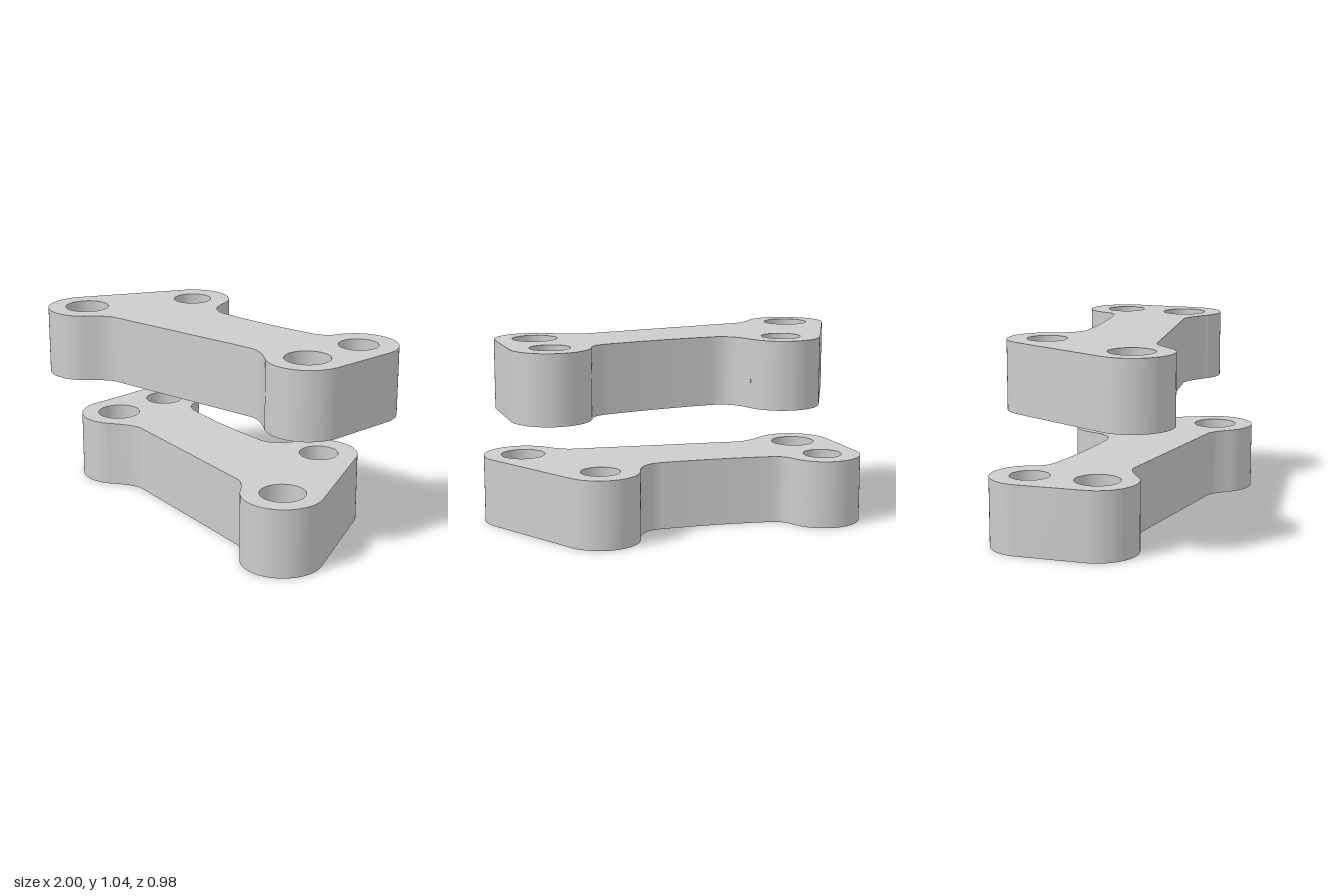
import * as THREE from 'three';
import { toCreasedNormals } from 'three/addons/utils/BufferGeometryUtils.js';

const H = 0.37;          // plate thickness
const BORE_DEPTH = 0.09; // counterbore depth
const SEG = 24;
const CREASE = 0.6;
const deg = Math.PI / 180;

// Holes: x, y in the plate plane (y points to the back), radius, counterbore radius
const HOLES = [
  [-0.785, -0.272, 0.12, 0.138],
  [0.757, -0.082, 0.12, 0.138],
  [0.772, 0.28, 0.105, 0.105],
  [-0.51, 0.28, 0.105, 0.105],
];

// Four rounded lobes joined by a waisted web, counter-clockwise
function outline() {
  const s = new THREE.Shape();
  s.absarc(-0.785, -0.275, 0.215, 153.6 * deg, 319 * deg, false);
  s.quadraticCurveTo(-0.545, -0.317, -0.49, -0.309);
  s.lineTo(0.45, -0.173);
  s.quadraticCurveTo(0.51, -0.166, 0.635, -0.258);
  s.absarc(0.757, -0.082, 0.215, 236 * deg, 357 * deg, false);
  s.absarc(0.77, 0.28, 0.21, -3 * deg, 165 * deg, false);
  s.quadraticCurveTo(0.545, 0.27, 0.46, 0.255);
  s.quadraticCurveTo(0.18, 0.2, -0.13, 0.19);
  s.quadraticCurveTo(-0.265, 0.18, -0.31, 0.345);
  s.absarc(-0.51, 0.28, 0.21, 18 * deg, 153.6 * deg, false);
  return s;
}

// Flat face with the holes cut out; wide uses the counterbore radius
function capGeometry(y, wide, faceDown) {
  const s = outline();
  for (const [x, z, r, bore] of HOLES) {
    const p = new THREE.Path();
    p.absarc(x, z, wide ? bore : r, 0, Math.PI * 2, true);
    s.holes.push(p);
  }
  const g = new THREE.ShapeGeometry(s, SEG);
  if (faceDown) g.index.array.reverse();
  g.rotateX(-Math.PI / 2).translate(0, y, 0);
  return toCreasedNormals(g, CREASE);
}

// Vertical strip that follows the outline
function wallGeometry() {
  const pts = outline().getPoints(SEG);
  const pos = [], idx = [];
  pts.forEach((p, i) => {
    pos.push(p.x, 0, -p.y, p.x, H, -p.y);
    const a = 2 * i, b = 2 * ((i + 1) % pts.length);
    idx.push(a, b, b + 1, a, b + 1, a + 1);
  });
  const g = new THREE.BufferGeometry();
  g.setAttribute('position', new THREE.Float32BufferAttribute(pos, 3));
  g.setIndex(idx);
  return toCreasedNormals(g, CREASE);
}

// Inner surface of a hole, stepped where it is counterbored
function holeGeometry([x, y, r, bore], boreOnTop) {
  let profile = [[r, H], [r, 0]];
  if (bore > r) {
    profile = boreOnTop
      ? [[bore, H], [bore, H - BORE_DEPTH], [r, H - BORE_DEPTH], [r, 0]]
      : [[r, H], [r, BORE_DEPTH], [bore, BORE_DEPTH], [bore, 0]];
  }
  const g = new THREE.LatheGeometry(profile.map(p => new THREE.Vector2(...p)), SEG * 2);
  g.translate(x, 0, -y);
  return toCreasedNormals(g, CREASE);
}

function makePlate(name, boreOnTop, material) {
  const plate = new THREE.Group();
  plate.name = name;
  const add = (part, g) => {
    const m = new THREE.Mesh(g, material);
    m.name = part;
    plate.add(m);
  };
  add('outerWall', wallGeometry());
  add('topFace', capGeometry(H, boreOnTop, false));
  add('bottomFace', capGeometry(0, !boreOnTop, true));
  HOLES.forEach((h, i) => add(`boltHole${i + 1}`, holeGeometry(h, boreOnTop)));
  return plate;
}

export function createModel() {
  const metal = new THREE.MeshStandardMaterial({ color: 0xcccccc });
  metal.name = 'light grey metal';
  const model = new THREE.Group();
  model.name = 'bracketPair';

  const upper = makePlate('upperBracket', false, metal);
  upper.position.y = 0.667;

  // Opposite-hand bracket: turned over, so its counterbores also end up below
  const lower = makePlate('lowerBracket', true, metal);
  lower.rotation.z = Math.PI;
  lower.position.y = H;

  model.add(upper, lower);
  return model;
}
